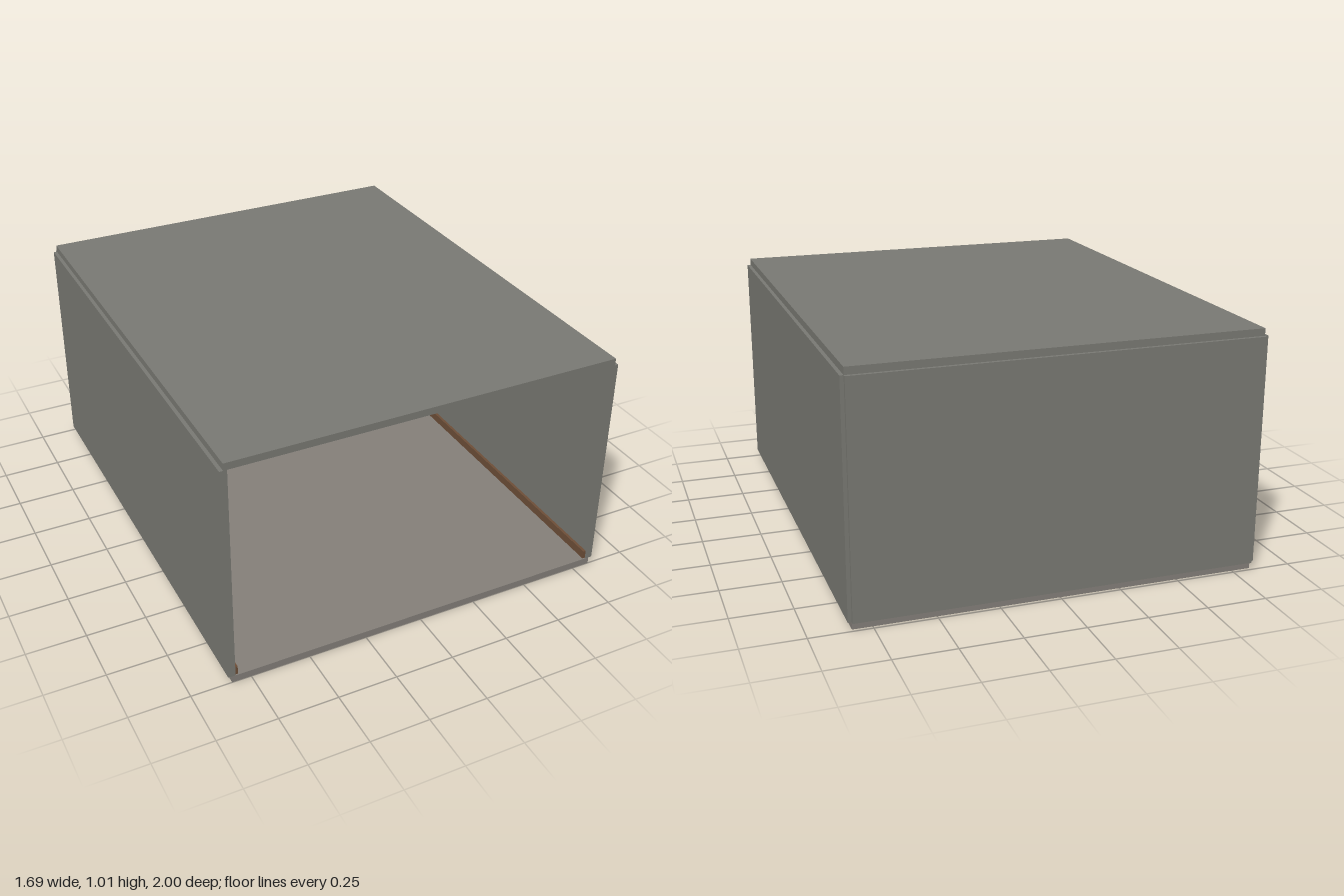
import * as THREE from 'three';

const mat = (color, flat = false) =>
  new THREE.MeshStandardMaterial({ color, flatShading: flat });
const WALL = mat(0x7a7a74), FLOOR = mat(0x85807a), WOOD = mat(0x6e4f38), DARKWOOD = mat(0x5a3f2c),
  COPPER = mat(0x9a6242), IRON = mat(0x4a4a4c), BLACK = mat(0x2b2b2d), RED = mat(0x7a2a22),
  LEAF = mat(0x24402f), VINE = mat(0x3c3f35), TRUNK = mat(0x1d1d1d, true), PINK = mat(0x8c4152),
  TAPE = mat(0x77777a), BRASS = mat(0xcbb070), WAX = mat(0xaaa698), GLASS = mat(0x6a5a3c);
const V = (x, y, z) => new THREE.Vector3(x, y, z);

function add(parent, name, geometry, material, x = 0, y = 0, z = 0) {
  const m = new THREE.Mesh(geometry, material);
  m.name = name;
  m.position.set(x, y, z);
  parent.add(m);
  return m;
}
// Box given by its extents on each axis
function slab(parent, name, material, x0, x1, y0, y1, z0, z1) {
  return add(parent, name, new THREE.BoxGeometry(x1 - x0, y1 - y0, z1 - z0), material,
    (x0 + x1) / 2, (y0 + y1) / 2, (z0 + z1) / 2);
}
function rod(parent, name, material, a, b, r, sides = 14) {
  const d = b.clone().sub(a);
  const m = add(parent, name, new THREE.CylinderGeometry(r, r, d.length(), sides), material);
  m.position.copy(a).add(b).multiplyScalar(0.5);
  m.quaternion.setFromUnitVectors(V(0, 1, 0), d.normalize());
  return m;
}
function group(parent, name, x = 0, y = 0, z = 0) {
  const g = new THREE.Group();
  g.name = name;
  g.position.set(x, y, z);
  parent.add(g);
  return g;
}
// Tube along a curve whose radius shrinks to a point at the far end
function tendril(parent, name, material, points, r) {
  const curve = new THREE.CatmullRomCurve3(points.map(p => V(...p)));
  const n = 20, sides = 8, g = new THREE.TubeGeometry(curve, n, r, sides), p = g.attributes.position;
  for (let i = 0; i <= n; i++) {
    const c = curve.getPointAt(i / n), k = Math.max(0.04, 1 - Math.pow(i / n, 2));
    for (let j = 0; j <= sides; j++) {
      const q = i * (sides + 1) + j, v = V().fromBufferAttribute(p, q).sub(c).multiplyScalar(k).add(c);
      p.setXYZ(q, v.x, v.y, v.z);
    }
  }
  g.computeVertexNormals();
  return add(parent, name, g, material);
}

function buildRoom(root) {
  const room = group(root, 'room');
  slab(room, 'floor', FLOOR, -0.83, 0.83, 0, 0.03, -0.985, 1);
  slab(room, 'ceiling', WALL, -0.83, 0.83, 0.98, 1.01, -0.985, 1);
  slab(room, 'backWall', WALL, -0.83, 0.83, 0.03, 0.98, -1, -0.97);
  for (const s of [-1, 1]) {
    add(room, 'sideWall', new THREE.BoxGeometry(0.03, 0.95, 1.985), WALL, s * 0.83, 0.505, 0.0075);
    add(room, 'sideSkirting', new THREE.BoxGeometry(0.012, 0.037, 1.965), WOOD, s * 0.809, 0.0485, 0.0125);
  }
  slab(room, 'backSkirting', WOOD, -0.81, 0.81, 0.03, 0.067, -0.97, -0.958);
}

function buildPipes(root) {
  const g = group(root, 'pipes');
  rod(g, 'upperPipe', COPPER, V(-0.795, 0.88, -0.945), V(0.79, 0.88, -0.945), 0.01);
  rod(g, 'mainPipe', COPPER, V(-0.795, 0.835, -0.935), V(0.79, 0.835, -0.935), 0.014);
  rod(g, 'downPipe', COPPER, V(-0.445, 0.03, -0.935), V(-0.445, 0.85, -0.935), 0.014);
  rod(g, 'sidePipe', COPPER, V(-0.8, 0.855, -0.96), V(-0.8, 0.855, -0.85), 0.012);
  rod(g, 'sideThinPipe', COPPER, V(-0.8, 0.795, -0.96), V(-0.8, 0.795, -0.85), 0.007);
  for (let i = 0; i < 5; i++) {
    const x = -0.727 + i * 0.355;
    slab(g, 'pipeBracket', IRON, x - 0.006, x + 0.006, 0.8, 0.82, -0.97, -0.925);
    add(g, 'pipeClamp', new THREE.TorusGeometry(0.015, 0.003, 6, 16), IRON, x, 0.835, -0.935).rotation.y = Math.PI / 2;
  }
  const wheel = group(g, 'valveWheel', -0.445, 0.405, -0.89);
  add(wheel, 'rim', new THREE.TorusGeometry(0.044, 0.005, 8, 28), RED);
  for (let i = 0; i < 3; i++)
    add(wheel, 'spoke', new THREE.BoxGeometry(0.086, 0.006, 0.005), RED).rotation.z = i * Math.PI / 3;
  rod(wheel, 'hub', RED, V(0, 0, -0.045), V(0, 0, 0.008), 0.011);
}

function buildSpeaker(root, y) {
  const g = group(root, 'speaker', -0.653, y, -0.83);
  g.rotation.y = -0.1;
  add(g, 'cabinet', new THREE.BoxGeometry(0.208, 0.226, 0.2), WOOD);
  add(g, 'grille', new THREE.BoxGeometry(0.172, 0.196, 0.006), BLACK, 0.005, 0, 0.102);
  for (const [cy, r] of [[-0.022, 0.042], [0.062, 0.022]]) {
    add(g, 'coneRim', new THREE.TorusGeometry(r, 0.005, 8, 24), IRON, 0.012, cy, 0.105);
    add(g, 'coneCap', new THREE.SphereGeometry(r * 0.5, 16, 10), BLACK, 0.012, cy, 0.102);
  }
}

function buildDoor(root) {
  const g = group(root, 'door');
  slab(g, 'doorLeaf', WOOD, 0.375, 0.572, 0.03, 0.6, -0.97, -0.95);
  for (const x of [0.353, 0.572]) slab(g, 'doorJamb', WOOD, x, x + 0.022, 0.03, 0.635, -0.97, -0.93);
  slab(g, 'doorHead', WOOD, 0.365, 0.582, 0.6, 0.62, -0.97, -0.935);
  for (const [y0, y1] of [[0.305, 0.535], [0.08, 0.242]]) {
    slab(g, 'panelFrame', DARKWOOD, 0.405, 0.538, y0 - 0.005, y1 + 0.005, -0.952, -0.948);
    slab(g, 'panel', WOOD, 0.412, 0.531, y0, y1, -0.95, -0.944);
  }
  rod(g, 'knobStem', BRASS, V(0.535, 0.295, -0.955), V(0.535, 0.295, -0.925), 0.005);
  add(g, 'knob', new THREE.SphereGeometry(0.012, 14, 10), BRASS, 0.535, 0.295, -0.92);
  // Warning lamp above the door
  rod(g, 'lampTube', mat(0xb04a3c), V(0.43, 0.647, -0.945), V(0.515, 0.647, -0.945), 0.011);
  for (const x of [0.432, 0.457, 0.487, 0.512]) {
    const ring = add(g, 'lampCage', new THREE.TorusGeometry(0.012, 0.002, 6, 14), IRON, x, 0.647, -0.945);
    ring.rotation.y = Math.PI / 2;
  }
  slab(g, 'lampBase', IRON, 0.44, 0.505, 0.642, 0.652, -0.97, -0.955);
}

function buildCrates(root) {
  const g = group(root, 'crates');
  slab(g, 'lowerCrate', WOOD, 0.575, 0.79, 0.03, 0.178, -0.95, -0.8);
  slab(g, 'lowerCrateFront', DARKWOOD, 0.635, 0.783, 0.04, 0.153, -0.802, -0.796);
  slab(g, 'lowerCrateLid', WOOD, 0.57, 0.793, 0.165, 0.183, -0.953, -0.797);
  slab(g, 'upperCrate', WOOD, 0.557, 0.73, 0.183, 0.255, -0.94, -0.82);
  slab(g, 'upperCrateLid', WOOD, 0.553, 0.735, 0.253, 0.27, -0.943, -0.817);
  const outline = [[0, 0], [0.012, 0], [0.012, 0.5], [0.005, 0.68], [0.005, 1], [0, 1]];
  for (let i = 0; i < 6; i++) {
    const h = [0.09, 0.065, 0.1, 0.07, 0.105, 0.06][i];
    add(g, 'bottle', new THREE.LatheGeometry(outline.map(([r, t]) => new THREE.Vector2(r, t * h)), 12),
      i % 2 ? mat(0x77756c) : GLASS, 0.605 + i * 0.024, 0.27, -0.88 + (i % 2) * 0.03);
  }
}

function buildPottedPlant(root) {
  const g = group(root, 'pottedPlant', -0.48, 0.03, -0.725);
  add(g, 'pot', new THREE.CylinderGeometry(0.062, 0.048, 0.022, 20), DARKWOOD, 0, 0.011, 0);
  add(g, 'potRim', new THREE.TorusGeometry(0.06, 0.004, 8, 24), PINK, 0, 0.02, 0).rotation.x = Math.PI / 2;
  const leaves = [[-0.055, 0.11, -0.025, 0.235, 0], [0.07, 0.17, 0.0, 0.19, 0.02], [-0.07, 0.09, -0.115, 0.13, 0.02],
    [0.045, 0.13, 0.075, 0.22, -0.04], [-0.02, 0.12, 0.03, 0.2, -0.06]];
  for (const [mx, my, ex, ey, z] of leaves)
    tendril(g, 'leaf', LEAF, [[mx * 0.3, 0.01, 0], [mx, my, z * 0.5], [(mx * 0.6 + ex * 0.4), ey * 0.93, z], [ex, ey, z]], 0.012);
}

function buildCandles(root) {
  const g = group(root, 'candles');
  [0.04, 0.055, 0.075, 0.06, 0.045].forEach((h, i) => {
    const x = -0.395 + i * 0.019, z = -0.85 + (i % 2) * 0.035;
    rod(g, 'candle', WAX, V(x, 0.03, z), V(x, 0.03 + h, z), 0.009, 10);
    rod(g, 'wick', BLACK, V(x, 0.03 + h, z), V(x, 0.042 + h, z), 0.0015, 5);
  });
}

function buildGiantVine(root) {
  const g = group(root, 'giantVine', 0, 0, -0.9);
  // Gnarled stem
  const stem = [[0.24, 0.03, 0], [0.235, 0.15, 0.01], [0.265, 0.26, 0], [0.235, 0.37, 0.01], [0.265, 0.47, 0], [0.25, 0.58, 0], [0.245, 0.66, 0]];
  tendril(g, 'stem', TRUNK, stem, 0.045);
  // Tape strips
  const strips = [[0.25, 0.65, 0.1], [0.31, 0.54, -0.1], [0.205, 0.53, 0.2], [0.295, 0.43, -0.2], [0.2, 0.31, -0.2],
    [0.32, 0.235, 0.3], [0.2, 0.14, 0.2], [0.31, 0.13, -0.25]];
  for (const [x, y, tilt] of strips)
    add(g, 'strip', new THREE.BoxGeometry(0.026, 0.075, 0.012), TAPE, x, y, 0).rotation.z = tilt;
  // Fleshy buds
  for (const [x, y] of [[0.242, 0.115], [0.268, 0.23], [0.235, 0.36], [0.255, 0.555]])
    add(g, 'bud', new THREE.SphereGeometry(0.02, 12, 10), PINK, x, y, 0.036).scale.y = 1.4;
  const limbs = [
    [LEAF, [0.27, 0.54], [0.2, 0.59], [0.127, 0.69]], [LEAF, [0.26, 0.45], [0.32, 0.55], [0.405, 0.565]],
    [LEAF, [0.24, 0.38], [0.165, 0.4], [0.13, 0.32]], [VINE, [0.26, 0.32], [0.32, 0.335], [0.37, 0.295]],
    [VINE, [0.25, 0.18], [0.2, 0.13], [0.175, 0.035]], [VINE, [0.25, 0.19], [0.34, 0.17], [0.37, 0.035]],
    [VINE, [0.25, 0.06], [0.2, 0.09], [0.18, 0.035]]];
  limbs.forEach(([m, a, b, c], i) =>
    tendril(g, 'limb', m, [[...a, 0.01], [...b, 0.04 + 0.01 * (i % 3)], [...c, 0.06]], 0.018));
}

export function createModel() {
  const root = new THREE.Group();
  root.name = 'basementRoom';
  buildRoom(root);
  buildPipes(root);
  buildSpeaker(root, 0.169);
  buildSpeaker(root, 0.412);
  buildDoor(root);
  buildCrates(root);
  buildPottedPlant(root);
  buildCandles(root);
  buildGiantVine(root);
  slab(root, 'paperSheet', mat(0xa8958c), -0.343, -0.222, 0.48, 0.655, -0.97, -0.967);
  slab(root, 'redPoster', mat(0x8e2a2a), 0.592, 0.785, 0.345, 0.61, -0.97, -0.967);
  return root;
}
